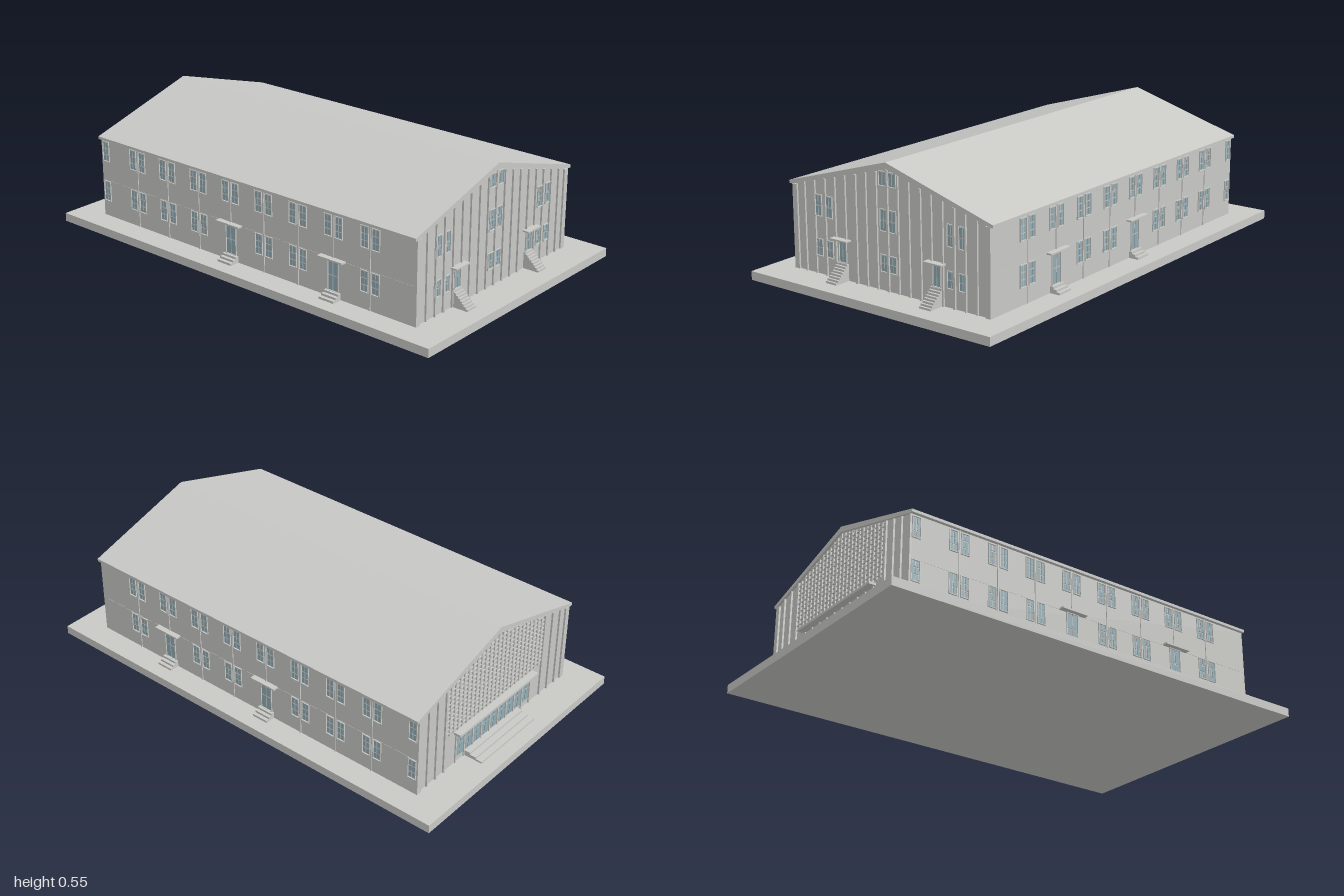
import * as THREE from 'three';
import { mergeGeometries } from 'three/addons/utils/BufferGeometryUtils.js';

const mat = (name, color) => {
  const m = new THREE.MeshStandardMaterial({ color });
  m.name = name;
  return m;
};

// Main dimensions
const BASE_Y = 0.037, WALL_X = 0.852, WALL_Z = 0.5;
const BAY = 0.182, BAY0 = -0.636;
const DOOR_BAYS = [3, 6];
const underRoof = z => 0.525 - 0.275 * Math.abs(z);

// Axis-aligned box from its limits
function span(x0, x1, y0, y1, z0, z1) {
  return new THREE.BoxGeometry(x1 - x0, y1 - y0, z1 - z0)
    .translate((x0 + x1) / 2, (y0 + y1) / 2, (z0 + z1) / 2);
}

// Extrude a (z, y) outline along x, centred
function extrudeAlongX(points, length) {
  const shape = new THREE.Shape(points.map(([z, y]) => new THREE.Vector2(-z, y)));
  const g = new THREE.ExtrudeGeometry(shape, { depth: length, bevelEnabled: false });
  return g.translate(0, 0, -length / 2).rotateY(Math.PI / 2);
}

export function createModel() {
  const model = new THREE.Group();
  const concrete = mat('pale grey concrete', 0xc8c8c5);
  const glass = mat('blue grey glass', 0x92abb3);

  const add = (name, parts, material, parent = model) => {
    const list = [].concat(parts).map(g => (g.index ? g.toNonIndexed() : g));
    const mesh = new THREE.Mesh(list.length > 1 ? mergeGeometries(list) : list[0], material);
    mesh.name = name;
    parent.add(mesh);
    return mesh;
  };

  // Plinth, walls and roof
  add('plinth', span(-1, 1, 0, BASE_Y, -0.607, 0.607), concrete);
  add('walls', extrudeAlongX([[-WALL_Z, BASE_Y], [WALL_Z, BASE_Y], [WALL_Z, 0.39], [0, 0.528], [-WALL_Z, 0.39]], 2 * WALL_X), concrete);
  add('roof', extrudeAlongX([[-0.514, 0.388], [-0.514, 0.4], [0, 0.552], [0.514, 0.4], [0.514, 0.388], [0.5, 0.388], [0, 0.527], [-0.5, 0.388]], 1.724), concrete);

  // Facades are modelled facing +z with u to the right, then turned into place.
  const facade = (name, angle, distance) => {
    const g = new THREE.Group();
    g.name = name;
    g.rotation.y = angle;
    g.userData.d = distance;
    model.add(g);
    return g;
  };

  // Panes of one window: columns by rows of thin plates, leaving bars between
  const panes = (u, y0, y1, w, d, cols = 2, rows = 3) => {
    const out = [], pw = w / cols, ph = (y1 - y0) / rows, bar = 0.002;
    for (let i = 0; i < cols; i++) for (let j = 0; j < rows; j++)
      out.push(span(u - w / 2 + i * pw + bar, u - w / 2 + (i + 1) * pw - bar,
        y0 + j * ph + bar, y0 + (j + 1) * ph - bar, d - 0.001, d + 0.002));
    return out;
  };
  // Thin raised surround of a window
  const surround = (u, y0, y1, w, d) => {
    const t = 0.003, a = u - w / 2, b = u + w / 2;
    return [span(a - t, a, y0 - t, y1 + t, d, d + 0.005), span(b, b + t, y0 - t, y1 + t, d, d + 0.005),
      span(a, b, y0 - t, y0, d, d + 0.006), span(a, b, y1, y1 + t, d, d + 0.005)];
  };
  // Straight flight of steps going out from the wall
  const flight = (u, w, y1, count, d, tread) => {
    const h = (y1 - BASE_Y) / count;
    return Array.from({ length: count }, (_, i) =>
      span(u - w / 2, u + w / 2, BASE_Y + i * h, BASE_Y + (i + 1) * h, d - 0.002, d + (count - i) * tread));
  };

  // Long sides, mirrored front to back
  for (const side of [1, -1]) {
    const f = facade(side > 0 ? 'frontFacade' : 'backFacade', side > 0 ? 0 : Math.PI, WALL_Z);
    const d = WALL_Z, gl = [], fr = [], ribs = [], canopies = [], steps = [];
    const win = (u, y0, y1, w = 0.034) => {
      gl.push(...panes(u * side, y0, y1, w, d));
      fr.push(...surround(u * side, y0, y1, w, d));
    };
    win(-0.832, 0.292, 0.378);
    win(-0.832, 0.11, 0.196);
    for (let b = 0; b < 8; b++) {
      const u = BAY0 + b * BAY, door = DOOR_BAYS.includes(b), c = u * side;
      for (const s of [-1, 1]) {
        win(u + s * 0.027, 0.292, 0.378);
        if (!door) win(u + s * 0.027, 0.11, 0.196);
      }
      ribs.push(span(c - 0.003, c + 0.003, door ? 0.2 : BASE_Y, 0.402, d - 0.002, d + 0.004));
      if (door) {
        gl.push(...panes(c, 0.066, 0.196, 0.052, d, 2, 2));
        fr.push(...surround(c, 0.066, 0.196, 0.052, d));
        canopies.push(span(c - 0.063, c + 0.063, 0.199, 0.206, d - 0.002, d + 0.025));
        steps.push(...flight(c, 0.074, 0.065, 3, d, 0.015));
      }
    }
    add('sideWindowPanes', gl, glass, f);
    add('sideWindowSurrounds', fr, concrete, f);
    add('bayJoints', ribs, concrete, f);
    add('doorCanopies', canopies, concrete, f);
    add('doorSteps', steps, concrete, f);
    add('floorBand', span(-WALL_X, WALL_X, 0.2, 0.202, d - 0.002, d + 0.001), concrete, f);
  }

  // Vertical ribs of an end wall
  const endRibs = (f, keep) => {
    const out = [], d = WALL_X;
    for (let k = -9; k <= 9; k++) {
      const u = k * 0.0545;
      if (!keep(u)) continue;
      const w = k % 3 === 0 ? 0.005 : 0.003;
      const inDoor = f.name === 'rightEnd' && Math.abs(Math.abs(u) - 0.24) < 0.025;
      out.push(span(u - w, u + w, inDoor ? 0.205 : BASE_Y, underRoof(u) - 0.002, d - 0.002, d + 0.008));
    }
    for (const s of [-1, 1]) out.push(span(s * 0.488 - 0.012, s * 0.488 + 0.012, BASE_Y, 0.388, d - 0.002, d + 0.008));
    add('endWallRibs', out, concrete, f);
  };

  // End with two stair doors
  {
    const f = facade('rightEnd', Math.PI / 2, WALL_X), d = WALL_X;
    const gl = [], fr = [], canopies = [], steps = [];
    endRibs(f, () => true);
    for (const s of [-1, 1]) {
      for (const u of [0.366, 0.31, 0.022]) for (const [a, b] of [[0.277, 0.362], [0.114, 0.18]]) {
        gl.push(...panes(s * u, a, b, 0.034, d, 2, 2));
        fr.push(...surround(s * u, a, b, 0.034, d));
      }
      gl.push(...panes(s * 0.024, 0.457, 0.511, 0.036, d, 2, 1));
      fr.push(...surround(s * 0.024, 0.457, 0.511, 0.036, d));
      const c = s * 0.24;
      gl.push(...panes(c, 0.108, 0.198, 0.036, d, 2, 1));
      fr.push(...surround(c, 0.108, 0.198, 0.036, d));
      canopies.push(span(c - 0.044, c + 0.044, 0.201, 0.207, d - 0.002, 0.882));
      steps.push(...flight(c, 0.055, 0.106, 8, d, 0.0092));
    }
    add('endWindowPanes', gl, glass, f);
    add('endWindowSurrounds', fr, concrete, f);
    add('endCanopies', canopies, concrete, f);
    add('endStairs', steps, concrete, f);
  }

  // Main entrance end: lattice wall, long canopy, glazed doors, wide steps
  {
    const f = facade('leftEnd', -Math.PI / 2, WALL_X), d = WALL_X;
    endRibs(f, u => Math.abs(u) > 0.3);
    const bars = [], pitch = 0.0273;
    for (let k = -12; k <= 12; k++) {
      const u = k * pitch;
      bars.push(span(u - 0.003, u + 0.003, 0.2, underRoof(u) - 0.004, d - 0.002, d + 0.006));
    }
    for (let y = 0.215; y < 0.515; y += 0.02) {
      const half = Math.min(0.327, (0.52 - y) / 0.275);
      bars.push(span(-half, half, y - 0.002, y + 0.002, d - 0.002, d + 0.005));
    }
    add('latticeScreen', bars, concrete, f);
    const gl = [], posts = [];
    for (let k = -4; k <= 4; k++) gl.push(...panes(k * 0.056, 0.06, 0.18, 0.05, d, 2, 2));
    for (let k = -5; k < 5; k++) {
      const u = (k + 0.5) * 0.056;
      posts.push(span(u - 0.003, u + 0.003, BASE_Y, 0.185, d - 0.002, d + 0.006));
    }
    add('entranceGlass', gl, glass, f);
    add('entrancePosts', posts, concrete, f);
    add('entranceCanopy', span(-0.265, 0.265, 0.183, 0.194, d - 0.002, 0.884), concrete, f);
    add('entranceSteps', flight(-0.01, 0.36, 0.06, 3, d, 0.029), concrete, f);
  }
  return model;
}
